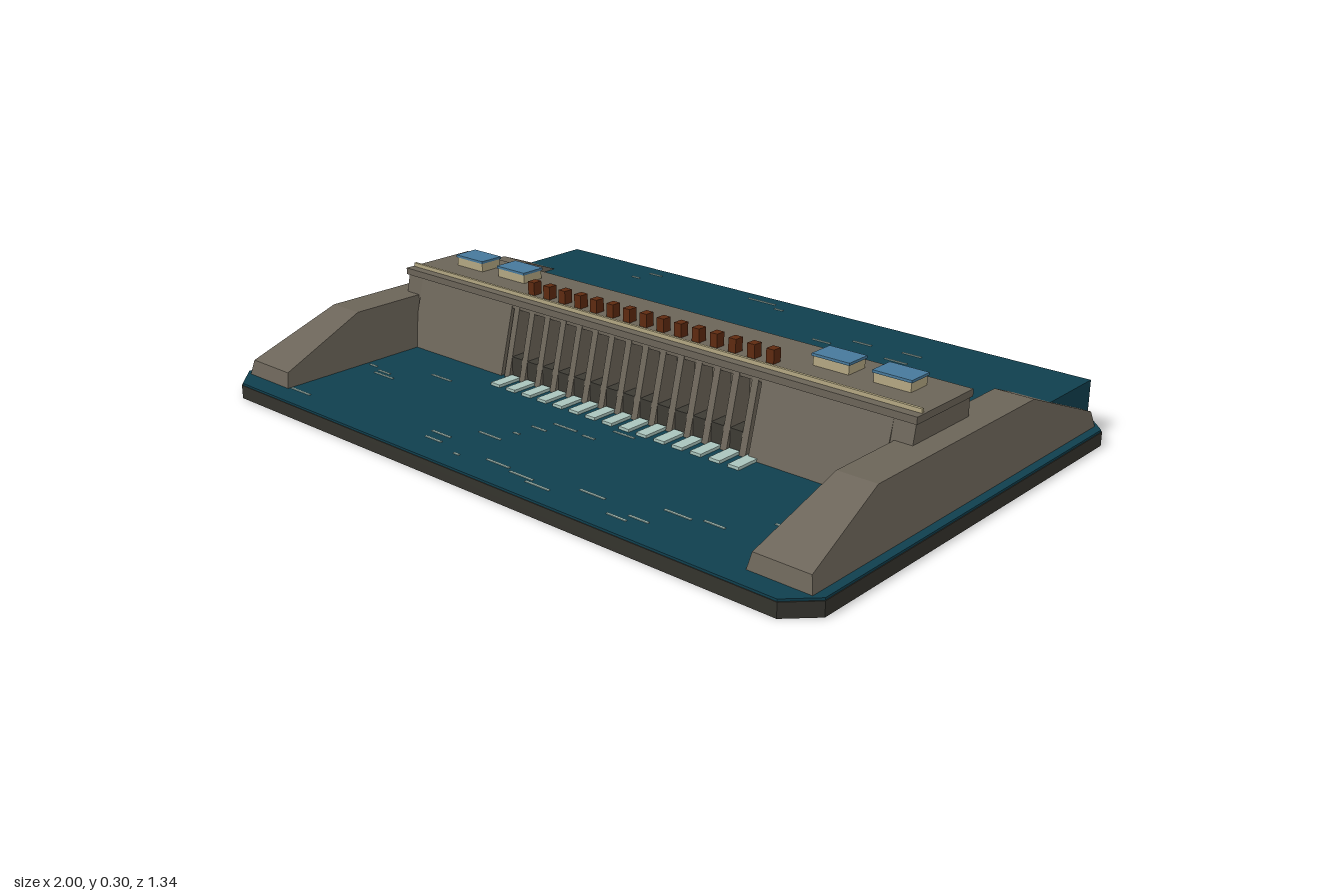
import * as THREE from 'three';

export function createModel() {
  const model = new THREE.Group();
  model.name = 'dam';

  const mat = (name, color) => {
    const m = new THREE.MeshStandardMaterial({ color });
    m.name = name;
    return m;
  };
  const concrete = mat('concrete', 0x6b6458);
  const darkConcrete = mat('darkConcrete', 0x3d3b34);
  const baseStone = mat('baseStone', 0x34332d);
  const water = mat('water', 0x103f4e);
  const foam = mat('foam', 0xa9c4bc);
  const rust = mat('rust', 0x5e2a10);
  const tan = mat('tan', 0xb3a782);
  const roofBlue = mat('roofBlue', 0x47799b);

  const add = (name, geo, material, parent = model) => {
    const mesh = new THREE.Mesh(geo, material);
    mesh.name = name;
    parent.add(mesh);
    return mesh;
  };
  // Box given by its limits on each axis
  const box = (name, material, x0, x1, y0, y1, z0, z1, parent) => {
    const geo = new THREE.BoxGeometry(x1 - x0, y1 - y0, z1 - z0);
    geo.translate((x0 + x1) / 2, (y0 + y1) / 2, (z0 + z1) / 2);
    return add(name, geo, material, parent);
  };
  // Side profile of [z, y] points swept from x0 to x1
  const sweep = (points, x0, x1) => {
    const shape = new THREE.Shape(points.map(([z, y]) => new THREE.Vector2(z, y)));
    const geo = new THREE.ExtrudeGeometry(shape, { depth: x1 - x0, bevelEnabled: false });
    geo.rotateY(-Math.PI / 2);
    geo.translate(x1, 0, 0);
    return geo;
  };
  // Slab with clipped corners
  const slab = (hx, hz, cut, y0, y1) => {
    const shape = new THREE.Shape([
      [hx, -hz + cut], [hx, hz - cut], [hx - cut, hz], [-hx + cut, hz],
      [-hx, hz - cut], [-hx, -hz + cut], [-hx + cut, -hz], [hx - cut, -hz],
    ].map(([x, y]) => new THREE.Vector2(x, y)));
    const geo = new THREE.ExtrudeGeometry(shape, { depth: y1 - y0, bevelEnabled: false });
    geo.rotateX(-Math.PI / 2);
    geo.translate(0, y0, 0);
    return geo;
  };

  // Ground slab, river and reservoir
  add('base', slab(1, 0.67, 0.07, 0, 0.038), baseStone);
  add('river', slab(0.998, 0.668, 0.07, 0.038, 0.044), water);
  box('reservoir', water, -0.93, 0.93, 0.04, 0.148, -0.654, -0.1);

  // Sloping side banks, narrowing towards the top
  const bankProfile = [[0.61, 0.04], [0.6, 0.085], [0.335, 0.19], [-0.335, 0.19], [-0.6, 0.085], [-0.61, 0.04]];
  for (const s of [1, -1]) {
    const geo = sweep(bankProfile, 0, 1);
    const p = geo.attributes.position;
    for (let i = 0; i < p.count; i++) {
      const t = (p.getY(i) - 0.04) / 0.15;
      const inner = 0.8 + 0.03 * t;
      const outer = 0.975 - 0.035 * t;
      const outside = s > 0 ? p.getX(i) > 0.5 : p.getX(i) < 0.5;
      p.setX(i, s * (outside ? outer : inner));
    }
    geo.computeVertexNormals();
    add(s > 0 ? 'leftBank' : 'rightBank', geo, concrete);
  }

  // Dam walls on both sides of the spillway
  const wallProfile = [[0.152, 0.04], [0.1, 0.24], [-0.13, 0.24], [-0.13, 0.04]];
  const backProfile = [[-0.12, 0.04], [-0.12, 0.227], [-0.15, 0.227], [-0.16, 0.04]];
  for (const s of [1, -1]) {
    const side = s > 0 ? 'left' : 'right';
    const span = (a, b) => (s > 0 ? [a, b] : [-b, -a]);
    add(side + 'Wall', sweep(wallProfile, ...span(0.44, 0.82)), concrete);
    add(side + 'Abutment', sweep([[0.112, 0.18], [0.1, 0.24], [-0.13, 0.24], [-0.13, 0.18]], ...span(0.82, 0.88)), concrete);
    add(side + 'BackWall', sweep(backProfile, ...span(0.44, 0.82)), concrete);
  }

  // Spillway: recessed wall, piers, sluices, foam and hoists
  box('spillwayWall', concrete, -0.44, 0.44, 0.04, 0.24, -0.142, 0.06);
  const spillway = new THREE.Group();
  spillway.name = 'spillway';
  model.add(spillway);
  for (let i = 0; i < 15; i++) {
    const x = -0.42 + i * 0.06;
    add('pier', sweep([[0.15, 0.04], [0.1, 0.24], [0.05, 0.24], [0.05, 0.04]], x - 0.01, x + 0.01), concrete, spillway);
    box('hoist', rust, x - 0.012, x + 0.012, 0.258, 0.297, 0.018, 0.046, spillway);
    const bay = x + 0.03;
    if (i < 14) box('sluice', darkConcrete, bay - 0.02, bay + 0.02, 0.044, 0.103, 0.05, 0.135, spillway);
    box('outflowFoam', foam, bay - 0.017, bay + 0.017, 0.044, 0.052, 0.14, 0.22, spillway);
  }

  // Crest road with parapet
  box('deckLedge', concrete, -0.875, 0.875, 0.23, 0.242, -0.125, 0.1);
  box('deck', concrete, -0.885, 0.885, 0.241, 0.26, -0.135, 0.106);
  box('parapet', tan, -0.88, 0.88, 0.26, 0.271, 0.072, 0.08);

  // Control houses
  for (const x of [-0.74, -0.565, 0.56, 0.737]) {
    box('house', tan, x - 0.053, x + 0.053, 0.259, 0.285, -0.083, -0.014);
    box('houseRoof', roofBlue, x - 0.056, x + 0.056, 0.285, 0.292, -0.086, -0.011);
  }

  // Light ripples on both water levels: x, z, length
  const upper = [
    [-0.535, -0.605, 0.05], [-0.115, -0.61, 0.1], [-0.565, -0.545, 0.03], [-0.03, -0.58, 0.03],
    [-0.53, -0.37, 0.08], [-0.425, -0.375, 0.03], [-0.315, -0.345, 0.09], [-0.225, -0.275, 0.07],
    [0.325, -0.495, 0.06], [0.48, -0.505, 0.06], [0.23, -0.435, 0.06], [0.39, -0.385, 0.06],
    [0.475, -0.435, 0.07], [0.585, -0.345, 0.06], [0.66, -0.305, 0.05],
  ];
  const lower = [
    [-0.55, 0.275, 0.08], [-0.77, 0.337, 0.03], [-0.705, 0.352, 0.05], [-0.685, 0.37, 0.08],
    [0.11, 0.24, 0.07], [-0.035, 0.305, 0.08], [0.055, 0.312, 0.04], [-0.08, 0.355, 0.05],
    [-0.1, 0.415, 0.02], [-0.14, 0.47, 0.08], [-0.24, 0.545, 0.07], [-0.23, 0.58, 0.06],
    [-0.115, 0.605, 0.02], [0.005, 0.577, 0.08], [0.1, 0.59, 0.08], [0.17, 0.605, 0.08],
    [0.3, 0.553, 0.08], [0.425, 0.605, 0.06], [0.47, 0.58, 0.06], [0.52, 0.503, 0.08],
    [0.615, 0.488, 0.06], [0.73, 0.395, 0.03], [-0.755, 0.6, 0.08],
  ];
  for (const [list, y] of [[upper, 0.148], [lower, 0.044]]) {
    for (const [x, z, len] of list) {
      box('ripple', foam, x - len / 2, x + len / 2, y, y + 0.002, z - 0.003, z + 0.003);
    }
  }

  return model;
}
